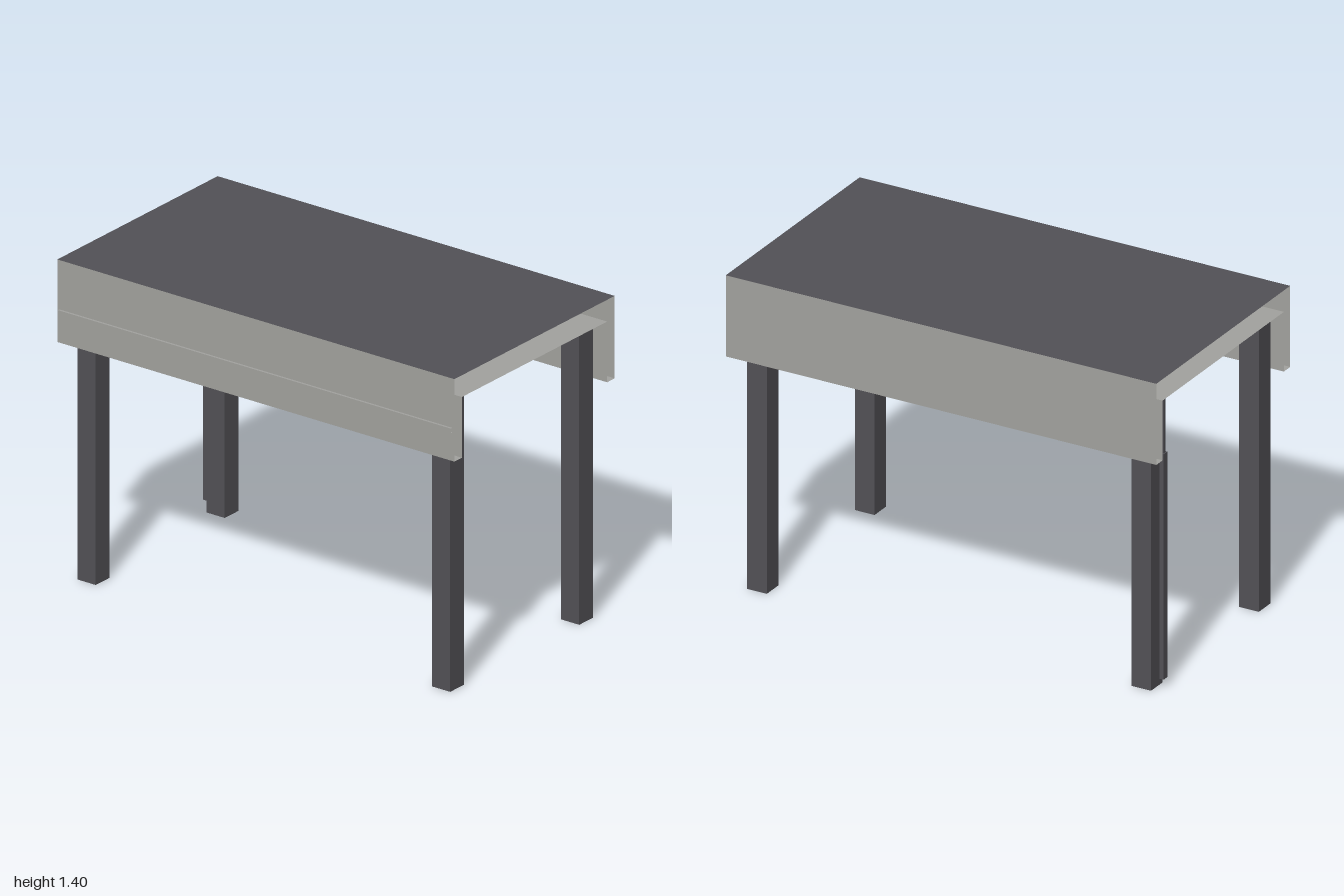
import * as THREE from 'three';

const dark = new THREE.MeshStandardMaterial({ color: 0x525156, side: THREE.DoubleSide });
dark.name = 'charcoal';
const light = new THREE.MeshStandardMaterial({ color: 0xa2a29e, side: THREE.DoubleSide });
light.name = 'warm grey';

// Sweep a [z, y] profile along x, leaving both ends open, one flat strip per segment
function sweep(profile, halfLength) {
  const pos = [];
  for (let i = 0; i < profile.length - 1; i++) {
    const [az, ay] = profile[i], [bz, by] = profile[i + 1];
    const a = [-halfLength, ay, az], b = [halfLength, ay, az];
    const c = [halfLength, by, bz], d = [-halfLength, by, bz];
    pos.push(...a, ...b, ...c, ...a, ...c, ...d);
  }
  const geo = new THREE.BufferGeometry();
  geo.setAttribute('position', new THREE.Float32BufferAttribute(pos, 3));
  geo.computeVertexNormals();
  return geo;
}

// Square tube, open at both ends, standing on y = 0
function squareTube(width, height) {
  const r = width / Math.SQRT2;
  const geo = new THREE.CylinderGeometry(r, r, height, 4, 1, true).toNonIndexed();
  geo.rotateY(Math.PI / 4).translate(0, height / 2, 0);
  geo.computeVertexNormals();
  return geo;
}

export function createModel() {
  const group = new THREE.Group();
  const add = (name, geo, mat, x = 0, y = 0, z = 0) => {
    const mesh = new THREE.Mesh(geo, mat);
    mesh.name = name;
    mesh.position.set(x, y, z);
    group.add(mesh);
    return mesh;
  };

  const front = 0.525, back = -0.535, wall = 0.05;
  const top = 1.4, under = 1.305, hem = 1.04;

  // Table top surface
  add('topSurface', sweep([[front, top], [back, top]], 1), dark);

  // Hollow apron: front and back skirts joined by the underside
  add('frontSkirt', sweep([
    [front - wall, under], [front - wall, hem], [front, hem], [front, top],
  ], 1), light);
  add('backSkirt', sweep([
    [back, top], [back, hem], [back + wall, hem], [back + wall, under],
  ], 1), light);
  add('underside', sweep([[back + wall, under], [front - wall, under]], 1), light);

  // Raised rail across the front skirt
  add('frontRail', sweep([
    [front, 1.165], [front + 0.01, 1.165], [front + 0.01, 1.185], [front, 1.185],
  ], 0.99), light);

  // Four hollow square legs
  const legGeo = squareTube(0.092, 1.3);
  for (const x of [-0.895, 0.89]) {
    for (const z of [-0.43, 0.423]) {
      add(z > 0 ? 'frontLeg' : 'backLeg', legGeo, dark, x, 0, z);
    }
  }

  // Slim conduit beside the back leg, with a thinner cable running up from it
  add('conduit', new THREE.BoxGeometry(0.02, 1, 0.03), dark, -0.965, 0.54, -0.42);
  add('cable', new THREE.BoxGeometry(0.01, 0.265, 0.015), dark, -0.965, 1.17, -0.42);

  return group;
}
